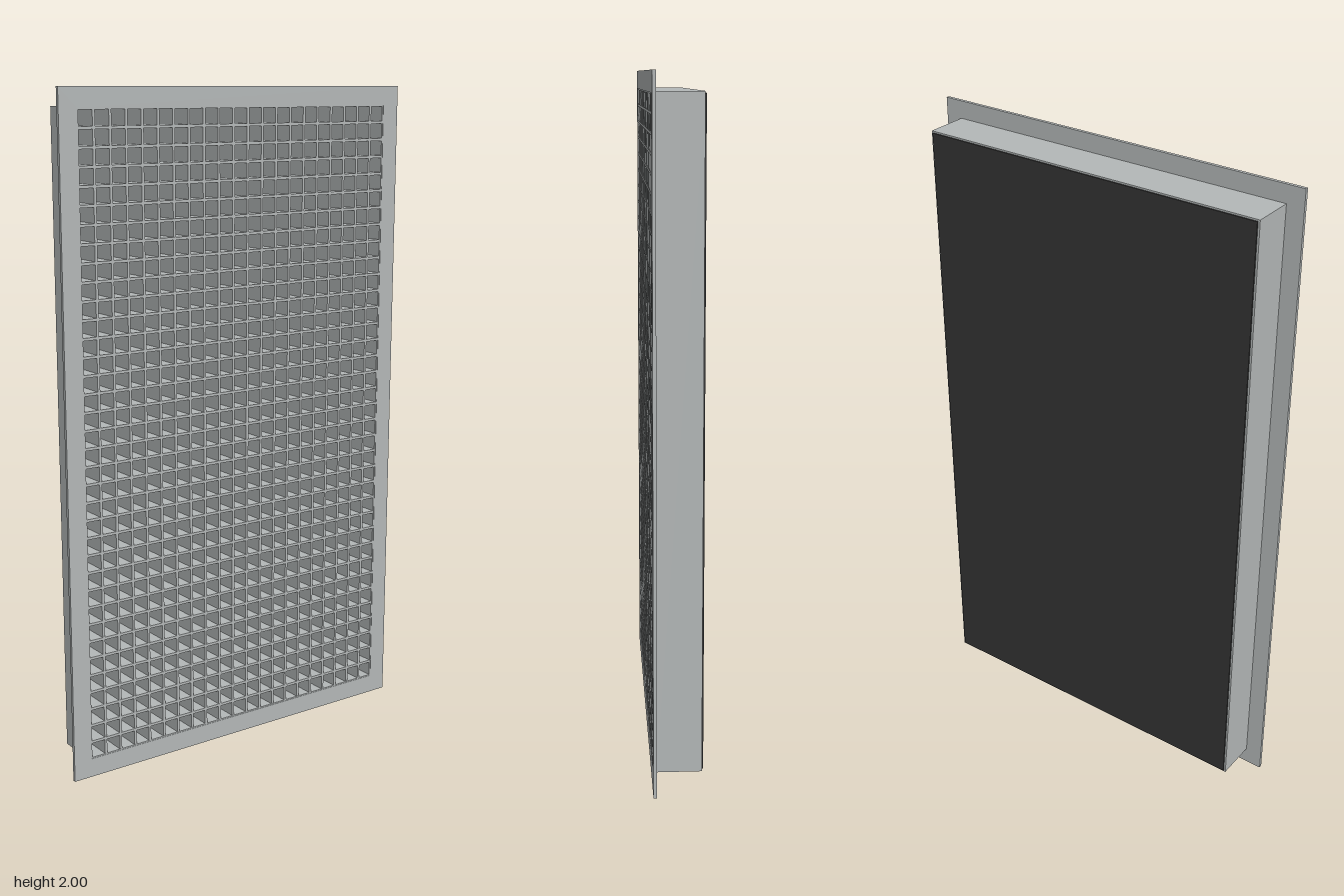
import * as THREE from 'three';

export function createModel() {
  const model = new THREE.Group();
  model.name = 'ventGrille';
  const grey = new THREE.MeshStandardMaterial({ color: 0xb4b8b8 });
  grey.name = 'metal grey';
  const black = new THREE.MeshStandardMaterial({ color: 0x343434 });
  black.name = 'backing black';

  const CY = 1;                    // height of the centre
  const OW = 1.086, OH = 1.886;    // opening
  const FRONT = 0.072, FLANGE_BACK = 0.062, BOX_BACK = -0.068;
  const COLS = 21, ROWS = 36, SLAT = 0.008;

  const add = (parent, name, geometry, material, x, y, z) => {
    const mesh = new THREE.Mesh(geometry, material);
    mesh.name = name;
    mesh.position.set(x, y, z);
    parent.add(mesh);
    return mesh;
  };

  // Rectangular ring, open through the middle
  const ring = (w, h, depth) => {
    const rect = (P, rw, rh) => {
      const p = new P();
      p.moveTo(-rw / 2, -rh / 2);
      p.lineTo(rw / 2, -rh / 2);
      p.lineTo(rw / 2, rh / 2);
      p.lineTo(-rw / 2, rh / 2);
      p.closePath();
      return p;
    };
    const shape = rect(THREE.Shape, w, h);
    shape.holes.push(rect(THREE.Path, OW, OH));
    return new THREE.ExtrudeGeometry(shape, { depth, bevelEnabled: false });
  };

  // Front flange and the duct collar behind it
  add(model, 'flange', ring(1.2, 2, FRONT - FLANGE_BACK), grey, 0, CY, FLANGE_BACK);
  add(model, 'collar', ring(1.094, 1.894, FLANGE_BACK - BOX_BACK), grey, 0, CY, BOX_BACK);

  // Closed back, with a thin black plate behind it
  add(model, 'backPanel', new THREE.BoxGeometry(OW, OH, 0.004), grey, 0, CY, BOX_BACK + 0.002);
  add(model, 'backingPlate', new THREE.BoxGeometry(1.082, 1.884, 0.004), black, 0, CY, BOX_BACK - 0.002);

  // Egg-crate core: crossing slats between the collar walls
  const core = new THREE.Group();
  core.name = 'eggCrateCore';
  model.add(core);
  const back = BOX_BACK + 0.004;
  const slatDepth = FRONT - 0.001 - back;
  const mid = back + slatDepth / 2;
  const upright = new THREE.BoxGeometry(SLAT, OH, slatDepth - 0.0005);
  const crossbar = new THREE.BoxGeometry(OW, SLAT, slatDepth);
  for (let i = 1; i < COLS; i++) {
    add(core, 'verticalSlat', upright, grey, -OW / 2 + (i * OW) / COLS, CY, mid - 0.00025);
  }
  for (let j = 1; j < ROWS; j++) {
    add(core, 'horizontalSlat', crossbar, grey, 0, CY - OH / 2 + (j * OH) / ROWS, mid);
  }

  // Half-width slats lining the edges of the opening
  const E = SLAT / 4;
  for (const s of [-1, 1]) {
    add(core, 'sideLiner', new THREE.BoxGeometry(2 * E, OH, slatDepth - 0.0005), grey, s * (OW / 2 - E), CY, mid - 0.00025);
    add(core, 'endLiner', new THREE.BoxGeometry(OW, 2 * E, slatDepth), grey, 0, CY + s * (OH / 2 - E), mid);
  }
  return model;
}
